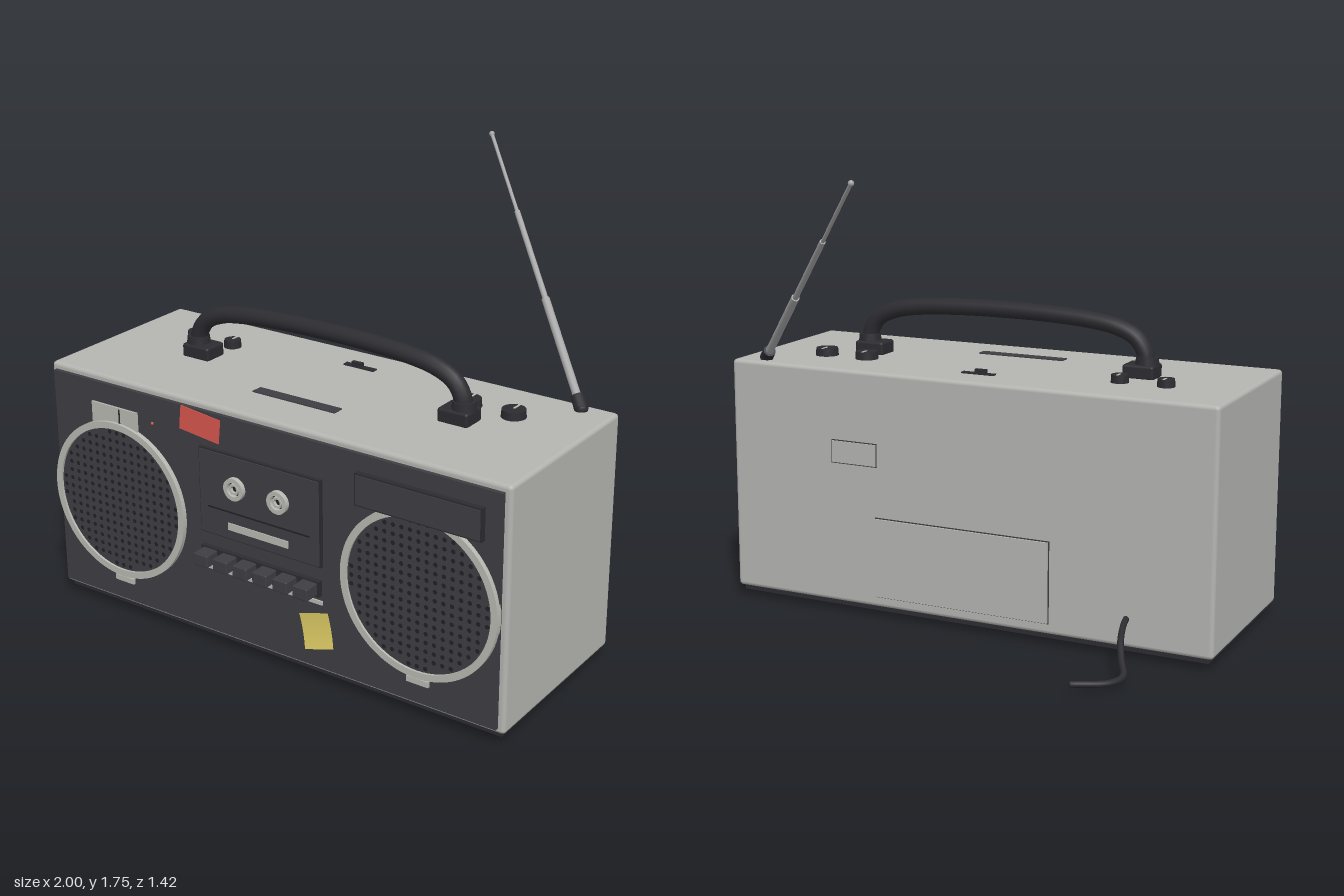
import * as THREE from 'three';
import { mergeGeometries } from 'three/addons/utils/BufferGeometryUtils.js';
import { RoundedBoxGeometry } from 'three/addons/geometries/RoundedBoxGeometry.js';

const mat = (name, color, side = THREE.FrontSide) => {
  const m = new THREE.MeshStandardMaterial({ color, side });
  m.name = name;
  return m;
};

export function createModel() {
  const silver = mat('silver casing', 0xb4b4b1);
  const trim = mat('pale trim', 0xb9b9b3);
  const panel = mat('charcoal panel', 0x3e3d43);
  const black = mat('black plastic', 0x2c2c31);
  const hole = mat('dark recess', 0x222226);
  const metal = mat('antenna metal', 0xa6a6a6);
  const red = mat('red sticker', 0xd8564f, THREE.DoubleSide);
  const yellow = mat('yellow note', 0xd8c662, THREE.DoubleSide);

  const model = new THREE.Group();
  const add = (name, geo, m, x = 0, y = 0, z = 0) => {
    const mesh = new THREE.Mesh(geo, m);
    mesh.name = name;
    mesh.position.set(x, y, z);
    model.add(mesh);
    return mesh;
  };
  // Box from its lower and upper corners, rounded when r is given
  const box = (name, m, x0, x1, y0, y1, z0, z1, r = 0) => {
    const s = [x1 - x0, y1 - y0, z1 - z0];
    const geo = r ? new RoundedBoxGeometry(...s, 2, r) : new THREE.BoxGeometry(...s);
    return add(name, geo, m, (x0 + x1) / 2, (y0 + y1) / 2, (z0 + z1) / 2);
  };
  // Flat ring or disc with thickness, facing +z
  const ring = (outer, inner, depth, seg = 48) => {
    const s = new THREE.Shape().absarc(0, 0, outer, 0, Math.PI * 2);
    if (inner) s.holes.push(new THREE.Path().absarc(0, 0, inner, 0, Math.PI * 2, true));
    return new THREE.ExtrudeGeometry(s, { depth, bevelEnabled: false, curveSegments: seg });
  };
  // Rod between two points
  const rod = (name, m, a, b, r0, r1) => {
    const d = b.clone().sub(a);
    const mesh = add(name, new THREE.CylinderGeometry(r1, r0, d.length(), 14), m);
    mesh.position.copy(a).addScaledVector(d, 0.5);
    mesh.quaternion.setFromUnitVectors(new THREE.Vector3(0, 1, 0), d.normalize());
  };

  // Casing, base and feet
  box('casing', silver, -1, 1, 0.045, 0.97, -0.14, 0.61, 0.016);
  box('base', black, -0.98, 0.98, 0.025, 0.06, -0.12, 0.59);
  for (const x of [-0.865, 0.865]) for (const z of [0, 0.48])
    add('foot', new THREE.CylinderGeometry(0.036, 0.03, 0.028, 20), black, x, 0.014, z);

  // Front panel
  box('frontPanel', panel, -0.975, 0.975, 0.068, 0.945, 0.6, 0.626);
  box('meter', trim, -0.785, -0.565, 0.785, 0.865, 0.62, 0.633);
  box('meterNeedle', black, -0.653, -0.647, 0.8, 0.86, 0.632, 0.635);
  add('indicatorLight', new THREE.SphereGeometry(0.006, 10, 8), red, -0.495, 0.84, 0.627);
  box('tunerFrame', black, 0.412, 0.913, 0.762, 0.883, 0.62, 0.647);
  box('tunerWindow', panel, 0.418, 0.907, 0.768, 0.877, 0.646, 0.65);

  // Speakers with perforated grilles
  const dots = [];
  for (let i = -8; i <= 8; i++) for (let j = -8; j <= 8; j++) {
    const x = i * 0.034, y = j * 0.034;
    if (Math.hypot(x, y) < 0.275) dots.push(new THREE.CircleGeometry(0.009, 8).translate(x, y, 0));
  }
  const dotGeo = mergeGeometries(dots);
  for (const x of [-0.665, 0.665]) {
    add('speakerGrille', ring(0.295, 0, 0.014), panel, x, 0.49, 0.622);
    add('grilleHoles', dotGeo, hole, x, 0.49, 0.637);
    add('speakerRing', ring(0.315, 0.289, 0.025), trim, x, 0.49, 0.62);
    box('speakerTab', trim, x - 0.045, x + 0.045, 0.145, 0.167, 0.62, 0.635);
  }

  // Cassette door
  box('doorFrame', black, -0.27, 0.266, 0.477, 0.812, 0.62, 0.64);
  box('cassetteDoor', panel, -0.264, 0.26, 0.483, 0.806, 0.63, 0.645);
  box('doorSeam', hole, -0.228, 0.222, 0.586, 0.592, 0.642, 0.647);
  box('doorLabel', trim, -0.138, 0.13, 0.518, 0.546, 0.642, 0.649);
  for (const x of [-0.1, 0.092]) {
    add('reel', ring(0.043, 0.027, 0.02, 20), trim, x, 0.69, 0.643);
    add('reelWell', new THREE.CircleGeometry(0.03, 24), hole, x, 0.69, 0.647);
    add('reelHub', ring(0.023, 0.014, 0.016, 3), trim, x, 0.69, 0.643);
  }

  // Transport keys
  box('keyBase', black, -0.268, 0.26, 0.362, 0.422, 0.62, 0.645);
  for (let i = 0; i < 6; i++) {
    const x = -0.227 + i * 0.0893;
    box('key', panel, x - 0.032, x + 0.032, 0.368, 0.416, 0.64, 0.705, 0.005);
  }
  box('keyStrip', trim, -0.27, 0.264, 0.326, 0.341, 0.62, 0.632);

  // Stickers, the note curling at its lower edge
  const tape = add('redSticker', new THREE.BoxGeometry(0.18, 0.093, 0.003), red, -0.27, 0.89, 0.629);
  tape.rotation.z = -0.11;
  const noteGeo = new THREE.PlaneGeometry(0.13, 0.13, 1, 8);
  const p = noteGeo.attributes.position;
  for (let i = 0; i < p.count; i++) p.setZ(i, 0.02 * ((0.065 - p.getY(i)) / 0.13) ** 2);
  noteGeo.computeVertexNormals();
  add('yellowNote', noteGeo, yellow, 0.242, 0.22, 0.629).rotation.z = 0.3;

  // Carry handle
  for (const s of [-1, 1]) {
    box('handleMount', black, s * 0.57 - 0.062, s * 0.57 + 0.062, 0.965, 1.02, 0.185, 0.285, 0.01);
    add('handleCollar', new THREE.CylinderGeometry(0.042, 0.046, 0.035, 16), black, s * 0.59, 1.03, 0.235);
  }
  const half = [[0.59, 1], [0.582, 1.06], [0.545, 1.115], [0.47, 1.15], [0.36, 1.169], [0.19, 1.18]];
  const path = [...half.map(([x, y]) => [-x, y]), [0, 1.183], ...half.slice().reverse()]
    .map(([x, y]) => new THREE.Vector3(x, y, 0.235));
  add('handle', new THREE.TubeGeometry(new THREE.CatmullRomCurve3(path), 64, 0.033, 12), black);

  // Top controls
  for (const [x, r] of [[-0.715, 0.034], [-0.535, 0.034], [0.53, 0.046], [0.71, 0.046]]) {
    add('knob', new THREE.CylinderGeometry(r * 0.94, r, 0.034, 28), black, x, 0.983, 0.1);
    box('knobPointer', trim, x - 0.004, x + 0.004, 0.998, 1.002, 0.1 - r * 0.85, 0.1);
  }
  box('switchPlate', black, -0.07, 0.065, 0.965, 0.975, -0.003, 0.022);
  box('switchSlider', black, -0.035, 0.01, 0.97, 0.99, 0.002, 0.018);
  box('topVent', panel, -0.182, 0.18, 0.965, 0.974, 0.385, 0.432);

  // Telescopic antenna
  const a = new THREE.Vector3(0.88, 0.975, -0.08), b = new THREE.Vector3(0.125, 1.735, -0.7);
  const at = (t) => a.clone().lerp(b, t);
  add('antennaPivot', new THREE.SphereGeometry(0.026, 16, 12), black, 0.875, 0.978, -0.085);
  rod('antennaSocket', black, at(0), at(0.045), 0.026, 0.024);
  [[0.03, 0.38, 0.0155], [0.37, 0.7, 0.011], [0.69, 1, 0.007]].forEach(([s, e, r]) =>
    rod('antennaSection', metal, at(s), at(e), r, r));
  add('antennaTip', new THREE.SphereGeometry(0.011, 12, 8), metal, b.x, b.y, b.z);

  // Back: battery door, rating plate and power cord
  box('batteryDoorGap', panel, -0.364, 0.364, 0.086, 0.404, -0.143, -0.13);
  box('batteryDoor', silver, -0.36, 0.36, 0.09, 0.4, -0.151, -0.13);
  box('ratingPlateEdge', panel, 0.356, 0.554, 0.601, 0.694, -0.1415, -0.13);
  box('ratingPlate', silver, 0.36, 0.55, 0.605, 0.69, -0.145, -0.13);
  const cord = [[-0.668, 0.155, -0.13], [-0.675, 0.143, -0.18], [-0.7, 0.112, -0.27], [-0.73, 0.07, -0.335],
    [-0.76, 0.037, -0.395], [-0.735, 0.03, -0.46], [-0.63, 0.037, -0.545]];
  add('powerCord', new THREE.TubeGeometry(
    new THREE.CatmullRomCurve3(cord.map((q) => new THREE.Vector3(...q))), 48, 0.012, 10), black);
  add('cordEnd', new THREE.SphereGeometry(0.012, 10, 8), black, -0.63, 0.037, -0.545);

  return model;
}
